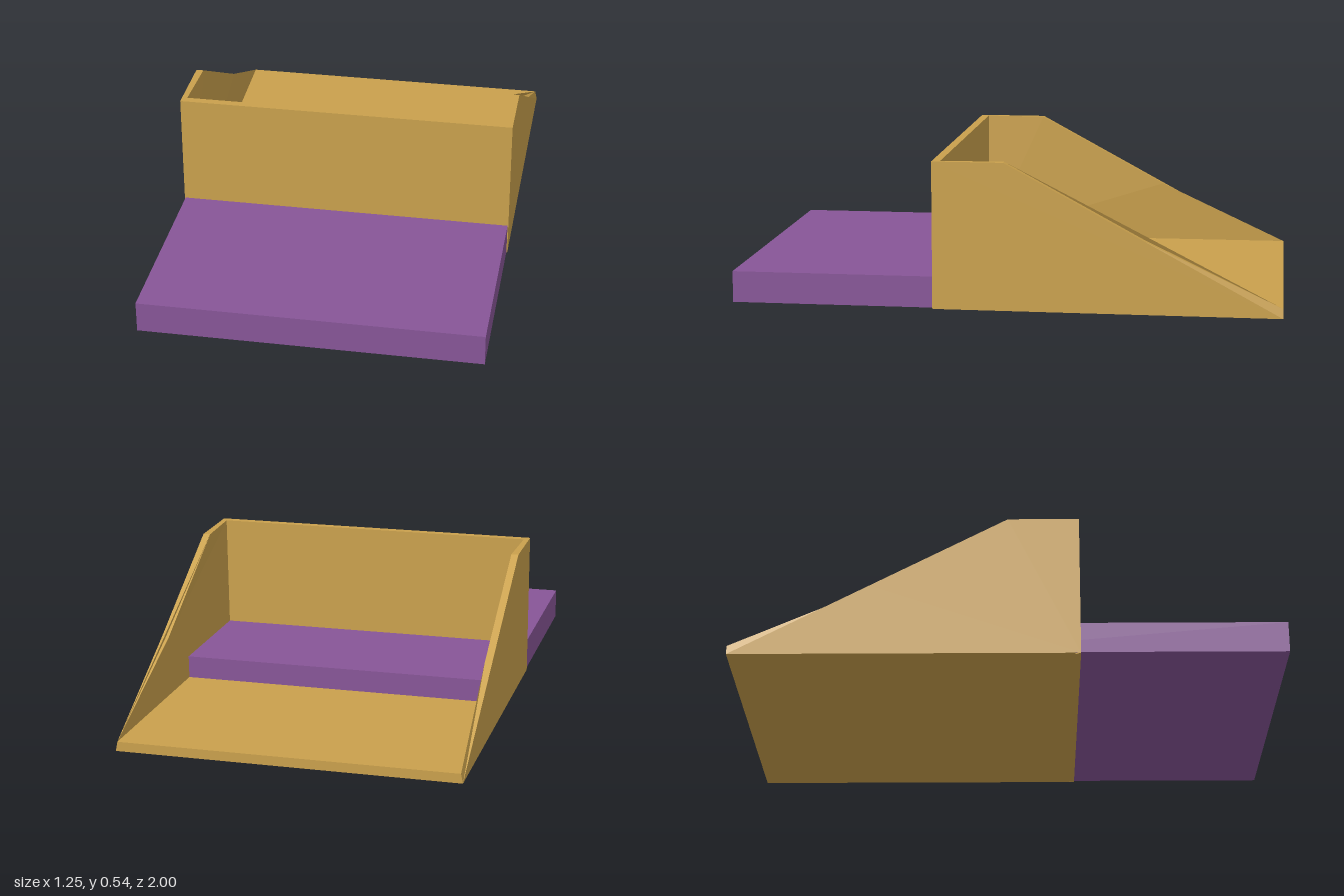
import * as THREE from 'three';

const tan = new THREE.MeshStandardMaterial({ color: 0xc9a04c, flatShading: true });
const purple = new THREE.MeshStandardMaterial({ color: 0x875597, flatShading: true });

// Solid between two matching loops; loop a runs counter-clockwise seen from outside.
function loft(a, b) {
  const pos = [];
  const tri = (...pts) => pts.forEach((p) => pos.push(...p));
  const n = a.length;
  for (let i = 1; i < n - 1; i++) {
    tri(a[0], a[i], a[i + 1]);
    tri(b[0], b[i + 1], b[i]);
  }
  for (let i = 0; i < n; i++) {
    const j = (i + 1) % n;
    tri(a[j], a[i], b[i]);
    tri(a[j], b[i], b[j]);
  }
  const geo = new THREE.BufferGeometry();
  geo.setAttribute('position', new THREE.Float32BufferAttribute(pos, 3));
  geo.computeVertexNormals();
  return geo;
}

// Horizontal trapezoid loop at height y
const trapezoid = (y, backX, backZ, frontX, frontZ) => [
  [-backX, y, backZ], [backX, y, backZ], [frontX, y, frontZ], [-frontX, y, frontZ],
];

export function createModel() {
  const group = new THREE.Group();
  const add = (name, geo, mat) => {
    const mesh = new THREE.Mesh(geo, mat);
    mesh.name = name;
    group.add(mesh);
    return mesh;
  };

  // Floor plate, its sides leaning slightly inwards
  add('floor', loft(trapezoid(0, 0.625, -1, 0.625, 0.24), trapezoid(0.035, 0.618, -1, 0.618, 0.24)), tan);

  // Tall front wall with mitred ends
  add('frontWall', loft(trapezoid(0, 0.605, 0.23, 0.625, 0.26), trapezoid(0.54, 0.605, 0.23, 0.625, 0.26)), tan);

  // Side walls sloping down to the back, with a slightly bent inner face
  const outer = [[0.625, 0, 0.26], [0.625, 0.54, 0.26], [0.625, 0.54, 0], [0.625, 0.27, -0.5], [0.625, 0, -1]];
  const inner = [[0.598, 0.035, 0.23], [0.605, 0.54, 0.23], [0.598, 0.54, 0], [0.598, 0.27, -0.5], [0.618, 0.035, -1]];
  for (const side of [1, -1]) {
    const place = (loop) => {
      const pts = loop.map(([x, y, z]) => [side * x, y, z]);
      return side > 0 ? pts.reverse() : pts;
    };
    add(side > 0 ? 'leftWall' : 'rightWall', loft(place(outer), place(inner)), tan);
  }

  // Slab passing under the front wall and into the tray
  add('slab', new THREE.BoxGeometry(1.244, 0.115, 1.26), purple).position.set(0, 0.0615, 0.37);

  return group;
}
